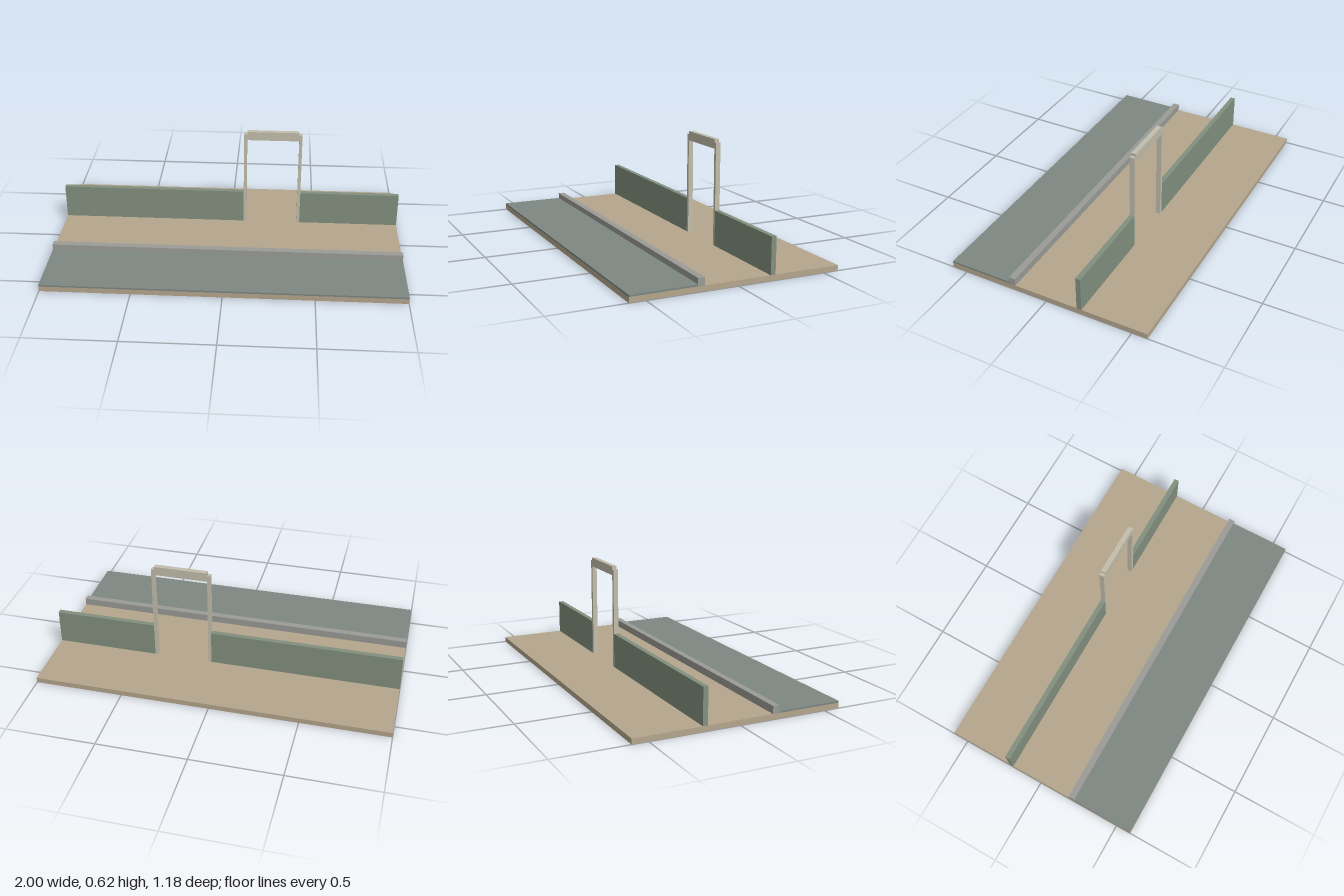
import * as THREE from 'three';

const paint = (color) => new THREE.MeshStandardMaterial({ color });

export function createModel() {
  const model = new THREE.Group();
  model.name = 'streetGate';

  const ground = paint(0xb5a68d);
  const asphalt = paint(0x7d8782);
  const stone = paint(0x9a9c96);
  const wall = paint(0x82907f);
  const timber = paint(0xc2beac);

  // Box given by its extents on each axis
  const block = (name, material, [x0, x1], [y0, y1], [z0, z1], parent = model) => {
    const mesh = new THREE.Mesh(new THREE.BoxGeometry(x1 - x0, y1 - y0, z1 - z0), material);
    mesh.position.set((x0 + x1) / 2, (y0 + y1) / 2, (z0 + z1) / 2);
    mesh.name = name;
    parent.add(mesh);
  };

  const base = 0.03;
  const wallZ = [-0.211, -0.183];

  // Ground slab, road strip and kerb
  block('groundSlab', ground, [-1, 1], [0, base], [-0.588, 0.588]);
  block('road', asphalt, [-1, 1], [base, 0.04], [0.225, 0.588]);
  block('kerb', stone, [-1, 1], [base, 0.072], [0.188, 0.225]);

  // Boundary wall on both sides of the opening
  block('rightWall', wall, [-1, 0.079], [base, 0.23], wallZ);
  block('leftWall', wall, [0.417, 1], [base, 0.23], wallZ);

  // Gate frame: two posts and a lintel between them
  const gate = new THREE.Group();
  gate.name = 'gateFrame';
  model.add(gate);
  block('rightPost', timber, [0.079, 0.097], [base, 0.607], wallZ, gate);
  block('leftPost', timber, [0.399, 0.417], [base, 0.607], wallZ, gate);
  block('lintel', timber, [0.097, 0.399], [0.572, 0.624], wallZ, gate);

  return model;
}
